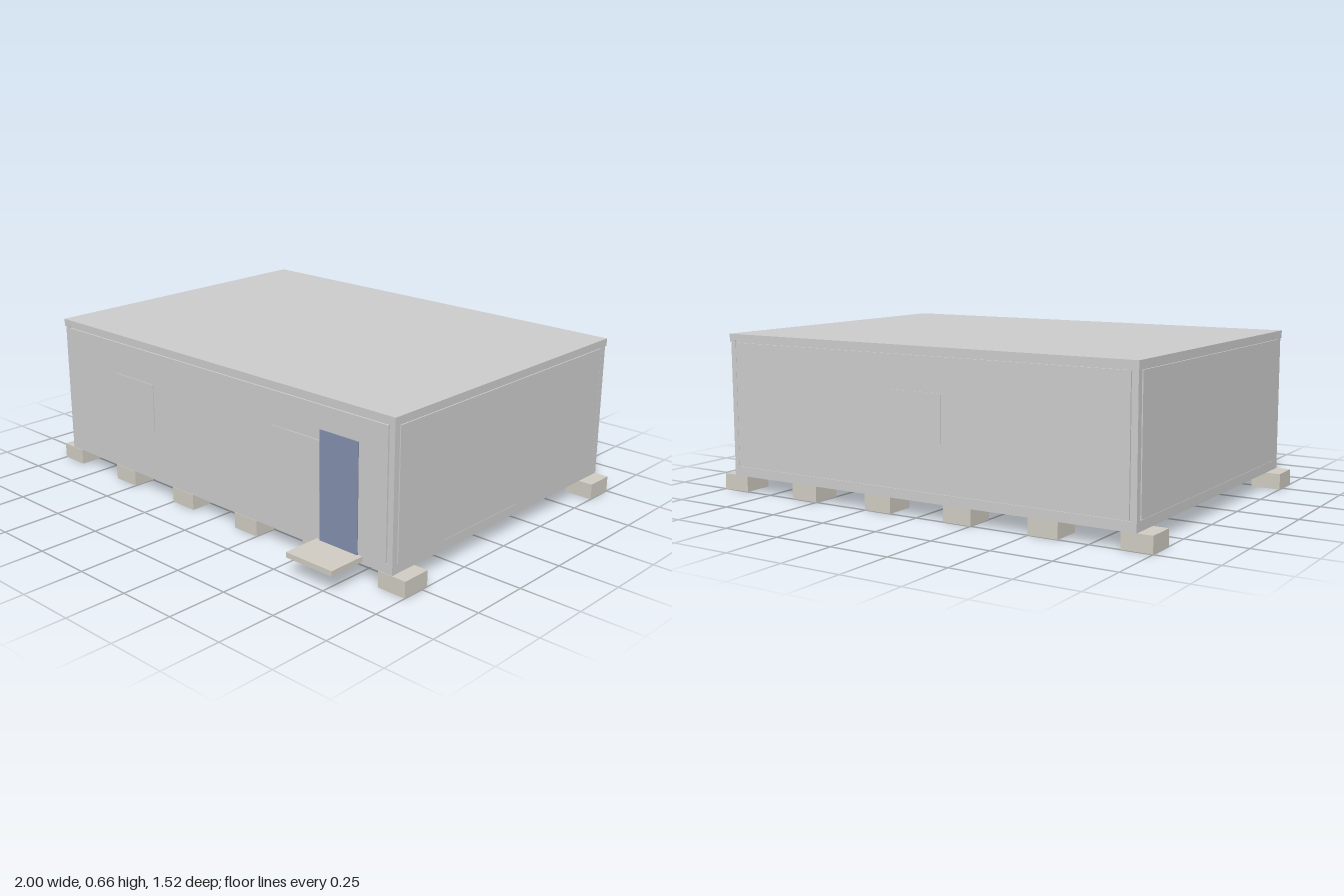
import * as THREE from 'three';

const mat = (color) => new THREE.MeshStandardMaterial({ color });

export function createModel() {
  const model = new THREE.Group();
  const grey = mat(0xcccccc), concrete = mat(0xcfcbc2), floorMat = mat(0xcec6b0), blue = mat(0x828eac);

  // Box given by its lower and upper limits
  function box(name, material, [x0, x1], [y0, y1], [z0, z1]) {
    const mesh = new THREE.Mesh(new THREE.BoxGeometry(x1 - x0, y1 - y0, z1 - z0), material);
    mesh.position.set((x0 + x1) / 2, (y0 + y1) / 2, (z0 + z1) / 2);
    mesh.name = name;
    model.add(mesh);
    return mesh;
  }

  // Inner shell and overhanging roof slab
  box('shell', grey, [-0.934, 0.934], [0.072, 0.64], [-0.749, 0.589]);
  box('roof', grey, [-0.942, 0.942], [0.637, 0.662], [-0.757, 0.597]);

  // Frame: corner posts, sills and top rails
  for (const s of [-1, 1]) {
    const side = (a, b) => (s > 0 ? [a, b] : [-b, -a]);
    for (const [z0, z1] of [[-0.753, -0.727], [0.567, 0.593]]) {
      box('cornerPost', grey, side(0.914, 0.938), [0.066, 0.638], [z0, z1]);
    }
    box('endSill', grey, side(0.914, 0.938), [0.066, 0.105], [-0.727, 0.567]);
    box('endTopRail', grey, side(0.914, 0.942), [0.63, 0.638], [-0.757, 0.597]);
    // End wall panel
    box('endPanel', grey, side(0.93, 0.94), [0.107, 0.626], [-0.722, 0.564]);
  }
  for (const [name, zs, zp] of [['front', [0.567, 0.593], [0.585, 0.596]], ['back', [-0.753, -0.727], [-0.756, -0.745]]]) {
    box(name + 'Sill', grey, [-0.914, 0.914], [0.066, 0.105], zs);
    box(name + 'Panel', grey, [-0.91, 0.91], [0.107, 0.626], zp);
  }

  // Floor in three panels
  for (let i = 0; i < 3; i++) {
    const w = 1.828 / 3, x = -0.914 + i * w;
    box('floorPanel', floorMat, [x + 0.001, x + w - 0.001], [0.067, 0.08], [-0.727, 0.567]);
  }

  // Foundation blocks in two rows
  for (let i = 0; i < 6; i++) {
    const x = -1 + i * 0.375;
    for (const z of [-0.75, 0.47]) {
      box('foundationBlock', concrete, [x, x + 0.125], [0, 0.066], [z, z + 0.125]);
    }
  }

  // Shallow windows
  for (const x of [-0.595, 0.343]) {
    box('frontWindow', grey, [x, x + 0.245], [0.285, 0.49], [0.59, 0.599]);
  }
  box('backWindow', grey, [-0.125, 0.125], [0.285, 0.49], [-0.759, -0.75]);

  // Door and step
  box('door', blue, [0.592, 0.777], [0.096, 0.533], [0.588, 0.6]);
  box('doorStep', concrete, [0.572, 0.798], [0.075, 0.096], [0.59, 0.757]);

  return model;
}
